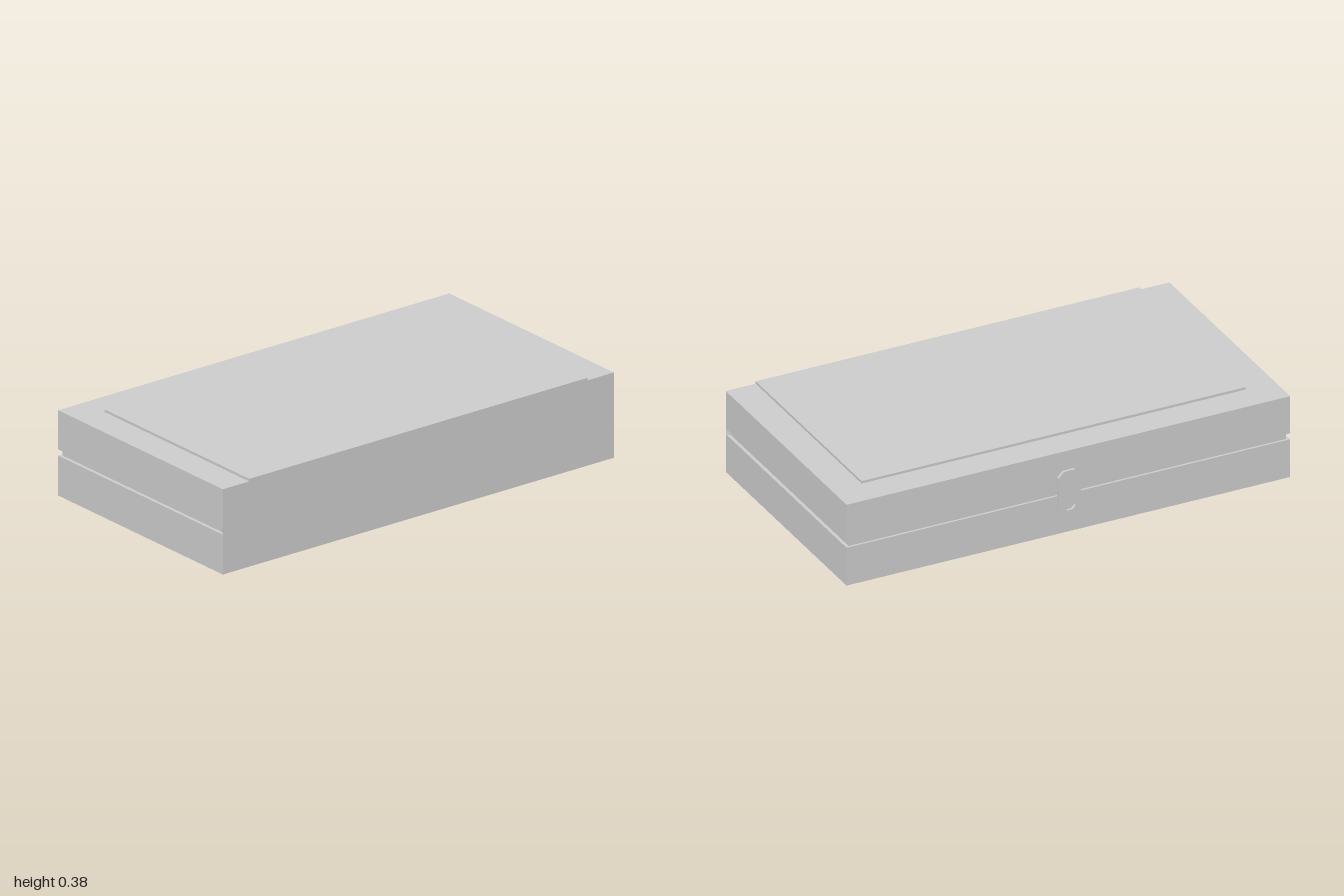
import * as THREE from 'three';

const X0 = -0.528, X1 = 0.54; // clasp side and hinge side of the case

function octagon(path, cy, r) {
  for (let i = 0; i < 8; i++) {
    const a = (i + 0.5) * Math.PI / 4;
    const p = [r * Math.cos(a), cy + r * Math.sin(a)];
    i ? path.lineTo(...p) : path.moveTo(...p);
  }
  path.closePath();
  return path;
}

export function createModel() {
  const group = new THREE.Group();
  const material = new THREE.MeshStandardMaterial({ color: 0xcccccc, flatShading: true });
  const add = (name, geometry) => {
    const mesh = new THREE.Mesh(geometry, material);
    mesh.name = name;
    group.add(mesh);
    return mesh;
  };
  const slab = (name, x0, x1, y0, y1, halfZ) => {
    const mesh = add(name, new THREE.BoxGeometry(x1 - x0, y1 - y0, 2 * halfZ));
    mesh.position.set((x0 + x1) / 2, (y0 + y1) / 2, 0);
  };

  // Two halves of the case and the raised panel on the lid
  slab('base', X0, X1, 0, 0.173, 1);
  slab('lid', X0, X1, 0.2, 0.37, 1);
  slab('lidPanel', -0.397, X1, 0.37, 0.381, 0.865);

  // Recessed seam, flaring out to the hinge side
  const seam = new THREE.Shape([
    [X0 + 0.01, -0.985], [0.52, -0.985], [X1, -1],
    [X1, 1], [0.52, 0.985], [X0 + 0.01, 0.985],
  ].map(([x, z]) => new THREE.Vector2(x, z)));
  const seamGeometry = new THREE.ExtrudeGeometry(seam, { depth: 0.027, bevelEnabled: false });
  seamGeometry.rotateX(-Math.PI / 2);
  add('seam', seamGeometry).position.y = 0.173;

  // Clasp plate with clipped corners and a hole near its lower end
  const w = 0.051, c = 0.025, y0 = 0.079, y1 = 0.284;
  const plate = new THREE.Shape([
    [-w + c, y0], [w - c, y0], [w, y0 + c], [w, y1 - c],
    [w - c, y1], [-w + c, y1], [-w, y1 - c], [-w, y0 + c],
  ].map(([z, y]) => new THREE.Vector2(z, y)));
  plate.holes.push(octagon(new THREE.Path(), 0.13, 0.029));
  const claspGeometry = new THREE.ExtrudeGeometry(plate, { depth: X0 + 0.54, bevelEnabled: false });
  claspGeometry.rotateY(-Math.PI / 2);
  add('clasp', claspGeometry).position.x = X0;

  return group;
}
